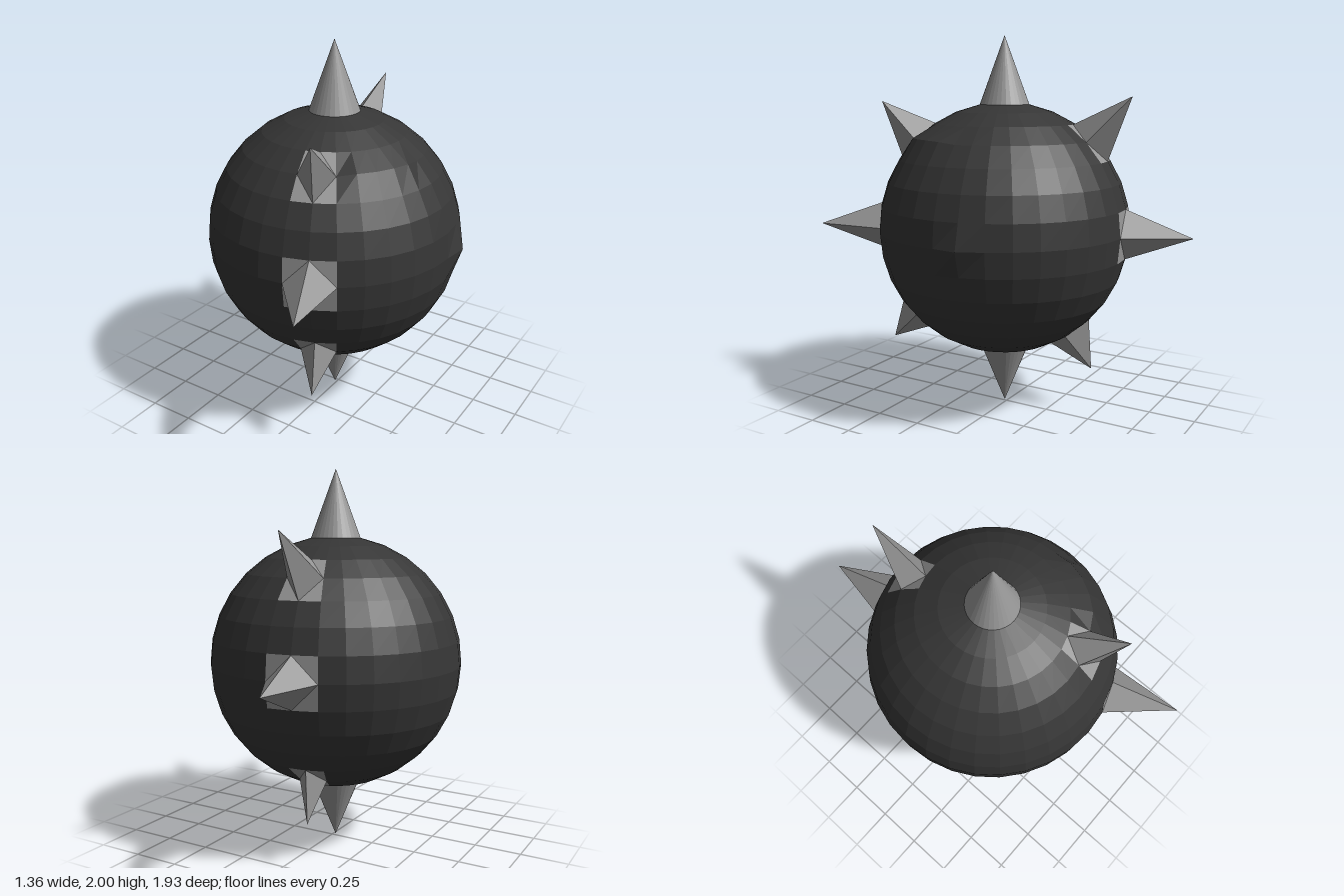
import * as THREE from 'three';

const RINGS = 16, SEGS = 32, R = 0.672;
const CENTRE = new THREE.Vector3(-0.012, 0.985, 0.018);

const bodyMat = new THREE.MeshStandardMaterial({ color: 0x363636 });
bodyMat.name = 'charcoal';
const spikeMat = new THREE.MeshStandardMaterial({ color: 0x969696 });
spikeMat.name = 'grey';

// Each spike is one grid point of the ball (ring, segment) pulled out to a tip
const spikes = [
  { name: 'frontSpike', ring: 8, seg: 2, tip: [0.39, 0.985, 0.965] },
  { name: 'upperFrontSpike', ring: 4, seg: 2, tip: [0.255, 1.66, 0.625] },
  { name: 'lowerFrontSpike', ring: 12, seg: 2, tip: [0.225, 0.345, 0.60] },
  { name: 'backSpike', ring: 8, seg: 17, tip: [-0.2, 0.985, -0.97] },
  { name: 'upperBackSpike', ring: 4, seg: 17, tip: [-0.1, 1.69, -0.665] },
  { name: 'lowerBackSpike', ring: 13, seg: 17, tip: [-0.12, 0.235, -0.46] },
];

// Slight dents and bulges, as extra radius at a grid point
const bulges = { '8,9': 0.03, '4,4': 0.02, '4,5': 0.02, '4,6': 0.02, '4,7': 0.015 };

function gridPoint(ring, seg) {
  seg = (seg + SEGS) % SEGS;
  if (ring === 0) return new THREE.Vector3(CENTRE.x, 2, CENTRE.z);
  if (ring === RINGS) return new THREE.Vector3(CENTRE.x, 0, CENTRE.z);
  const spike = spikes.find((s) => s.ring === ring && s.seg === seg);
  if (spike) return new THREE.Vector3(...spike.tip);
  const r = R + (bulges[`${ring},${seg}`] || 0);
  return new THREE.Vector3()
    .setFromSphericalCoords(r, ring * Math.PI / RINGS, seg * 2 * Math.PI / SEGS)
    .add(CENTRE);
}

// Faceted mesh from a list of grid cells; start picks the corner kept whole
function cellsMesh(name, cells, material) {
  const points = [];
  for (const { ring, seg, start = 0 } of cells) {
    const corners = [[0, 0], [1, 0], [1, 1], [0, 1]]
      .map(([i, j]) => gridPoint(ring + i, seg + j));
    const p = corners.map((_, k) => corners[(k + start) % 4]);
    if (ring === 0) points.push(corners[0], corners[1], corners[2]);
    else if (ring === RINGS - 1) points.push(corners[0], corners[1], corners[3]);
    else points.push(p[0], p[1], p[3], p[1], p[2], p[3]);
  }
  const geometry = new THREE.BufferGeometry().setFromPoints(points);
  geometry.computeVertexNormals();
  const mesh = new THREE.Mesh(geometry, material);
  mesh.name = name;
  return mesh;
}

export function createModel() {
  const group = new THREE.Group();
  group.name = 'spikedBall';
  const used = new Set();

  // Four-sided spikes, each with its square foot on the ball
  for (const { name, ring, seg } of spikes) {
    const cells = [
      { ring, seg, start: 0 },
      { ring: ring - 1, seg, start: 1 },
      { ring: ring - 1, seg: seg - 1, start: 2 },
      { ring, seg: seg - 1, start: 3 },
    ];
    cells.forEach((c) => used.add(`${c.ring},${c.seg}`));
    group.add(cellsMesh(name, cells, spikeMat));
  }

  // Round spikes at the poles, and the ball between them
  const top = [], bottom = [], ball = [];
  for (let seg = 0; seg < SEGS; seg++) {
    top.push({ ring: 0, seg });
    bottom.push({ ring: RINGS - 1, seg });
    for (let ring = 1; ring < RINGS - 1; ring++) {
      if (!used.has(`${ring},${seg}`)) ball.push({ ring, seg });
    }
  }
  group.add(cellsMesh('topSpike', top, spikeMat));
  group.add(cellsMesh('bottomSpike', bottom, spikeMat));
  group.add(cellsMesh('ball', ball, bodyMat));
  return group;
}
